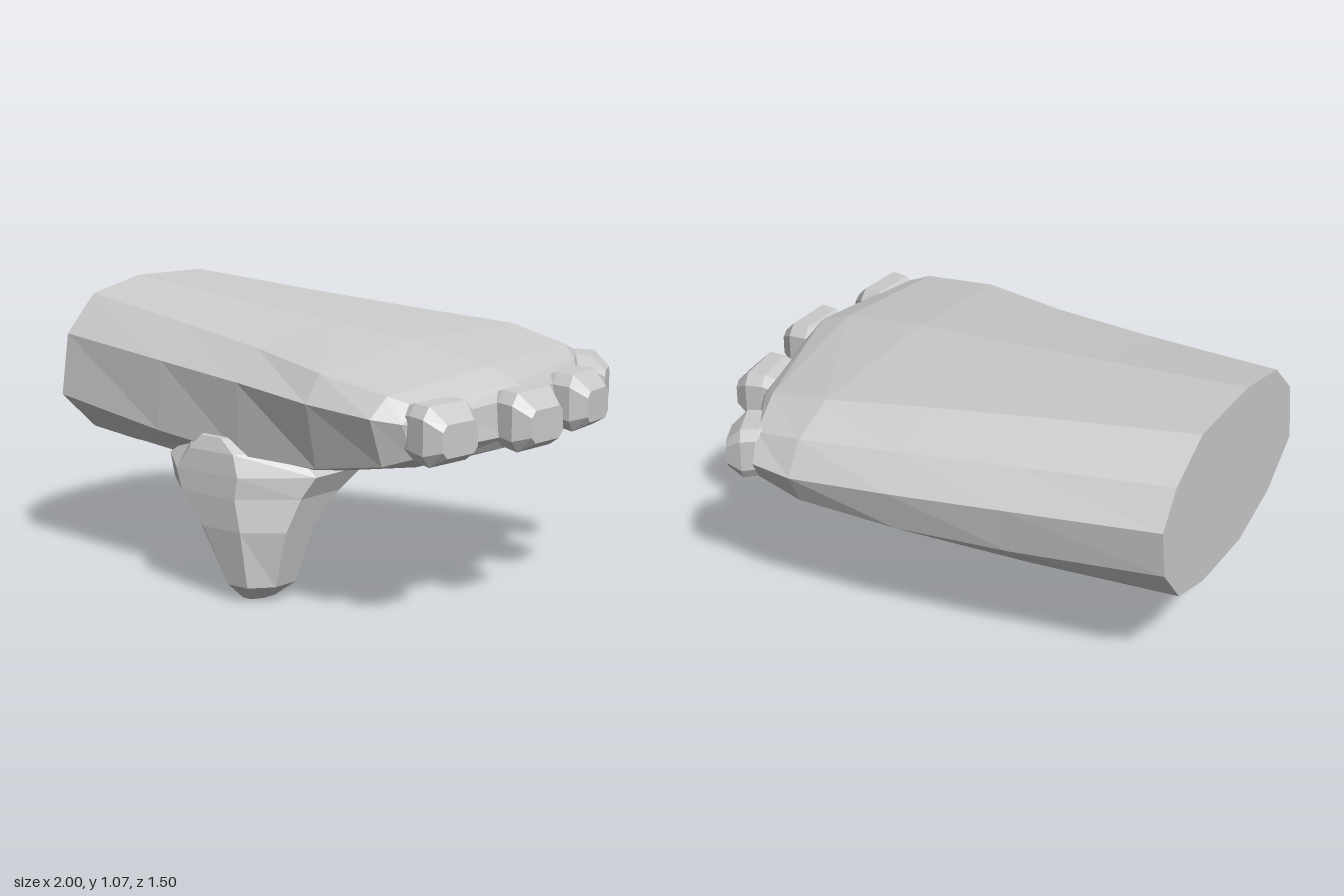
import * as THREE from 'three';

const material = new THREE.MeshStandardMaterial({ color: 0xcccccc, flatShading: true });
const { lerp } = THREE.MathUtils;

// Closed loft through rings of equal, even point count, with both ends capped.
function loft(name, rings) {
  const tris = [];
  const n = rings[0].length;
  const quad = (a, b, c, d) => tris.push([a, b, c], [a, c, d]);
  for (let r = 0; r < rings.length - 1; r++) {
    for (let i = 0; i < n; i++) {
      const j = (i + 1) % n;
      quad(rings[r][i], rings[r][j], rings[r + 1][j], rings[r + 1][i]);
    }
  }
  // Caps are strips of quads joining the upper half of a ring to the lower half.
  const first = [...rings[0]], last = rings[rings.length - 1];
  for (let k = 0; k < n / 2 - 1; k++) {
    const [a, b, c, d] = [2 - k, 3 + k, 4 + k, 1 - k].map((i) => (i + n) % n);
    quad(last[a], last[b], last[c], last[d]);
    quad(first[d], first[c], first[b], first[a]);
  }
  // Turn the shell outwards if its signed volume is negative.
  const volume = tris.reduce((s, [a, b, c]) => s + a.dot(b.clone().cross(c)), 0);
  if (volume < 0) tris.forEach((t) => t.reverse());
  const geometry = new THREE.BufferGeometry().setFromPoints(tris.flat());
  geometry.computeVertexNormals();
  const mesh = new THREE.Mesh(geometry, material);
  mesh.name = name;
  return mesh;
}

// Palm: the round wrist outline blends into a flatter, squarer knuckle outline.
// Outlines hold (across 0..1 from back to front, height -1..1 about y = 0.72).
function makePalm() {
  const wrist = [
    [0.594, 1], [0.83, 0.86], [0.965, 0.45], [1, -0.24], [0.84, -0.7], [0.62, -0.98],
    [0.33, -1], [0.15, -0.85], [0.03, -0.36], [0, 0.23], [0.085, 0.63], [0.255, 0.97],
  ];
  const knuckle = [
    [0.6, 1], [0.95, 0.75], [1, 0.3], [0.965, -0.82], [0.86, -0.97], [0.65, -1],
    [0.42, -1], [0.17, -0.8], [0.04, -0.6], [0, 0], [0.05, 0.58], [0.17, 0.94],
  ];
  // x, back z, front z, top y, bottom y, bow of the rounded far end, blend
  const stations = [
    [-1, -0.46, 0.6, 1.07, 0.39, 0, 0],
    [-0.43, -0.585, 0.66, 1.015, 0.375, 0, 0.3],
    [0, -0.68, 0.7, 0.975, 0.42, 0, 0.6],
    [0.38, -0.75, 0.74, 0.94, 0.51, 0, 1],
    [0.73, -0.74, 0.745, 0.88, 0.57, 0.13, 1],
    [0.85, -0.69, 0.69, 0.835, 0.61, 0.23, 1],
    [0.885, -0.6, 0.6, 0.79, 0.66, 0.25, 1],
  ];
  return loft('palm', stations.map(([x, back, front, top, bottom, bow, blend]) =>
    wrist.map(([across, height], i) => {
      const z = lerp(back, front, lerp(across, knuckle[i][0], blend));
      const v = lerp(height, knuckle[i][1], blend);
      const y = 0.72 + v * (v > 0 ? top - 0.72 : 0.72 - bottom);
      return new THREE.Vector3(x - bow * ((z - 0.2) / 0.8) ** 2, y, z);
    })));
}

// Thumb: eight-sided rings, flaring at the root and tapering to a blunt tip.
function makeThumb() {
  // y, min x, max x, min z, max z
  const stations = [
    [0.0, -0.04, 0.05, 0.49, 0.64],
    [0.06, -0.1, 0.13, 0.43, 0.7],
    [0.27, -0.26, 0.18, 0.36, 0.725],
    [0.39, -0.42, 0.21, 0.2, 0.725],
    [0.47, -0.48, 0.25, 0.08, 0.72],
    [0.55, -0.36, 0.16, 0.1, 0.71],
    [0.6, -0.24, 0.0, 0.2, 0.69],
  ];
  return loft('thumb', stations.map(([y, x0, x1, z0, z1]) =>
    Array.from({ length: 8 }, (_, i) => {
      const a = ((i + 0.5) / 8) * Math.PI * 2, k = 0.5 / Math.cos(Math.PI / 8);
      return new THREE.Vector3(
        (x0 + x1) / 2 + Math.cos(a) * k * (x1 - x0), y,
        (z0 + z1) / 2 + Math.sin(a) * k * (z1 - z0));
    })));
}

// Finger stub: a block with cut corners, its top sloping down to the outer face.
function makeFinger(index, x, z, turn, halfWidth) {
  const corners = [[1, 0.6], [0.75, 1], [-0.75, 1], [-1, 0.6], [-1, -0.6], [-0.75, -1], [0.75, -1], [1, -0.6]];
  // depth, width share, half height, centre height
  const stations = [
    [-0.2, 0.85, 0.08, 0], [-0.13, 0.95, 0.1, 0.005], [-0.06, 1, 0.105, -0.003], [0, 0.72, 0.058, -0.015],
  ];
  const finger = loft('finger' + index, stations.map(([d, w, h, cy]) =>
    corners.map(([cz, y]) => new THREE.Vector3(d, cy + y * h, cz * w * halfWidth))));
  finger.position.set(x, 0.72, z);
  finger.rotation.y = turn;
  return finger;
}

export function createModel() {
  const model = new THREE.Group();
  model.name = 'mittenHand';
  model.add(makePalm(), makeThumb());
  const fingers = new THREE.Group();
  fingers.name = 'fingers';
  [[0.92, 0.565, -0.08, 0.125], [1.0, 0.165, -0.03, 0.128], [0.93, -0.265, 0.13, 0.118], [0.715, -0.66, 0.45, 0.095]]
    .forEach(([x, z, turn, halfWidth], i) => fingers.add(makeFinger(i + 1, x, z, turn, halfWidth)));
  model.add(fingers);
  return model;
}
